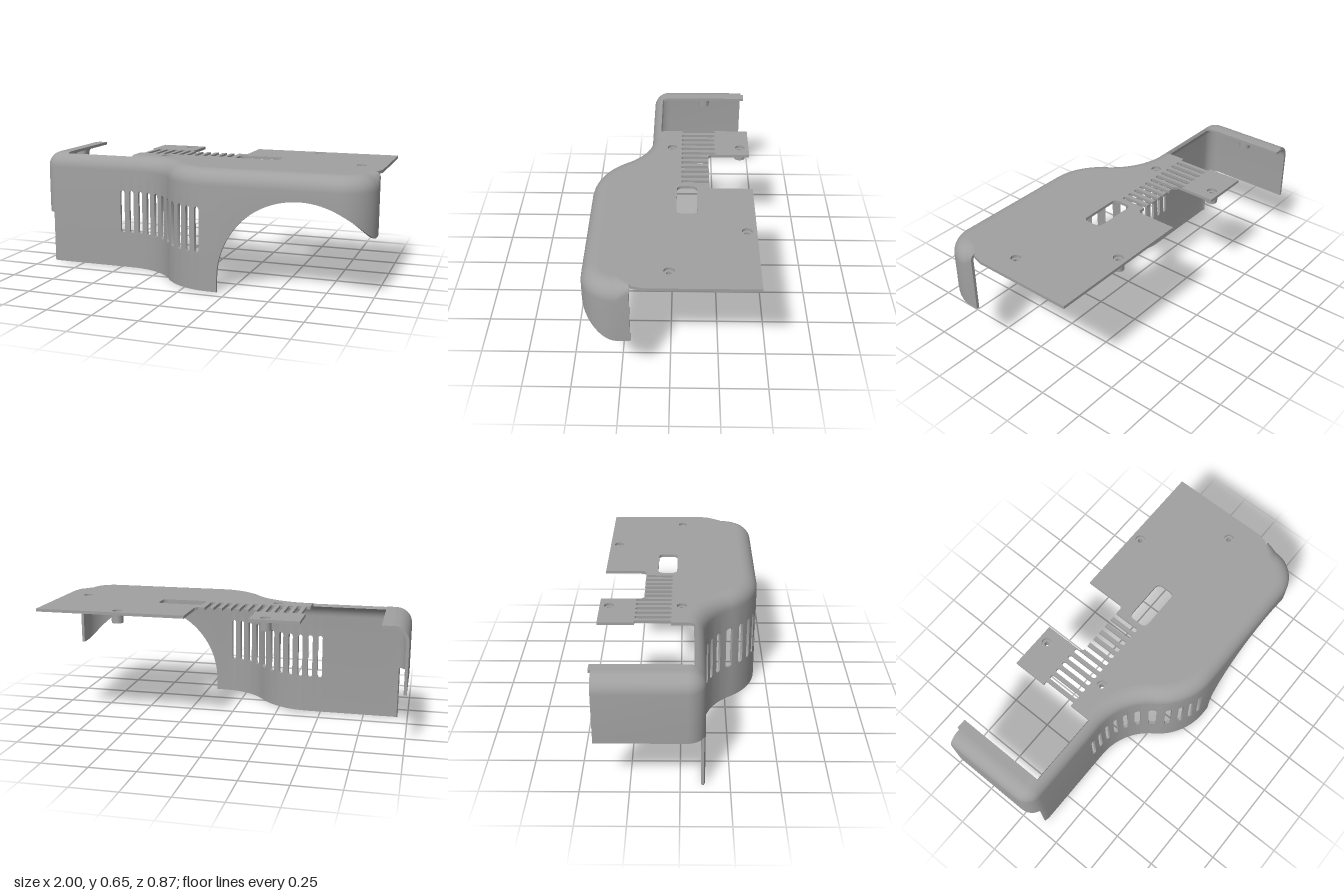
import * as THREE from 'three';
import { toCreasedNormals } from 'three/addons/utils/BufferGeometryUtils.js';

const TOP = 0.655, T = 0.016, R = 0.085;           // top height, wall thickness, edge radius
const Z0 = 0.125, Z1 = 0.433, BACK = -0.433;       // shallow front, deep front, back edge
const X0 = -0.43, X1 = 0.15;                       // ends of the S-bend
const CUT_L = -0.86, CUT_R = -0.45, STEP = -0.945; // open bay and lower skirt limits
const ARCH = { x: 0.635, y: 0.075, r: 0.44 };
const ARCH_L = ARCH.x - ARCH.r;
const HALF = 0.013, EPS = 1e-5;                    // half slot width
const wallSlots = Array.from({ length: 11 }, (_, i) => -0.49 + 0.057 * i);

// Point of the front wall at a given x, with outward normal
function frontPoint(x) {
  const bend = 2 * Math.atan((Z1 - Z0) / (X1 - X0));
  const rad = (X1 - X0) / 2 / Math.sin(bend);
  let z = Z0, a = 0;
  if (x >= X1) z = Z1;
  else if (x > (X0 + X1) / 2) {
    a = Math.asin((X1 - x) / rad);
    z = Z1 - rad * (1 - Math.cos(a));
  } else if (x > X0) {
    a = Math.asin((x - X0) / rad);
    z = Z0 + rad * (1 - Math.cos(a));
  }
  return { x, z, nx: -Math.sin(a), nz: Math.cos(a), r: R };
}

// Plan outline from the left back, round the front, to the right end
function outline() {
  const pts = [{ x: -1, z: -0.42, nx: -1, nz: 0, r: R }];
  const cr = 0.09;
  const angles = Array.from({ length: 10 }, (_, i) => (i * Math.PI) / 20);
  angles.push(Math.acos((-1 + cr - STEP) / cr));
  angles.sort((a, b) => a - b).forEach(a => pts.push({
    x: -1 + cr - cr * Math.cos(a), z: Z0 - cr + cr * Math.sin(a), nx: -Math.cos(a), nz: Math.sin(a), r: R }));
  const xs = [-0.91, CUT_L, CUT_R, X0, X1, 0.82];
  for (let i = 1; i < 24; i++) xs.push(X0 + ((X1 - X0) * i) / 24);
  for (let i = 0; i < 40; i++) {
    const x = ARCH.x - ARCH.r * Math.cos((i * Math.PI) / 48);
    if (x < 0.815) xs.push(x);
  }
  wallSlots.forEach(s => [-1, -0.7, 0, 0.7, 1].forEach(k => xs.push(s + k * HALF)));
  xs.sort((a, b) => a - b);
  xs.filter((x, i) => i === 0 || x - xs[i - 1] > 1e-4).forEach(x => pts.push(frontPoint(x)));
  for (let i = 1; i <= 12; i++) {
    const a = (i * Math.PI) / 24;
    pts.push({ x: 0.82 + 0.18 * Math.sin(a), z: Z1 - 0.18 + 0.18 * Math.cos(a), nx: Math.sin(a), nz: Math.cos(a), r: R });
  }
  pts.push({ x: 1, z: 0.22, nx: 1, nz: 0, r: 0.055 }, { x: 1, z: 0.19, nx: 1, nz: 0, r: 0.03 });
  return pts;
}

// Lower edge of the skirt, with step and wheel arch
function bottomY(x) {
  if (x < STEP) return 0.295;
  if (x < ARCH_L) return 0;
  return ARCH.y + Math.sqrt(Math.max(0, ARCH.r ** 2 - (x - ARCH.x) ** 2));
}

// Profile point: v below 1 is a height on the wall, v - 1 is an angle round the top edge
function profilePoint(p, v, inner) {
  const t = inner ? T : 0;
  let off = t, y = v;
  if (v >= 1) {
    off = p.r - (p.r - t) * Math.cos(v - 1);
    y = TOP - p.r + (p.r - t) * Math.sin(v - 1);
  }
  return [p.x - p.nx * off, y, p.z - p.nz * off];
}

function shellGeometry(pts) {
  const pos = [];
  const quad = (a, b, c, d) => pos.push(...a, ...b, ...c, ...a, ...c, ...d);
  const arc = (from, to, n) => Array.from({ length: n + 1 }, (_, i) => 1 + from + ((to - from) * i) / n);
  const cutAngle = Math.acos((R - 0.05) / R);
  const fullArc = arc(0, Math.PI / 2, 8), cutArc = arc(0, cutAngle, 6);

  // One strip of wall between neighbouring outline points
  function band(p, q, rows, capTop) {
    const at = k => [profilePoint(p, rows[k][0], false), profilePoint(q, rows[k][1], false),
      profilePoint(q, rows[k][1], true), profilePoint(p, rows[k][0], true)];
    for (let k = 0; k + 1 < rows.length; k++) {
      const [a, b, c, d] = at(k), [e, f, g, h] = at(k + 1);
      quad(a, b, f, e);
      quad(c, d, h, g);
    }
    const [a, b, c, d] = at(0);
    quad(d, c, b, a);
    if (capTop) quad(...at(rows.length - 1));
  }
  // Wall thickness shown at a vertical edge; dir -1 faces the start of the outline
  function side(p, vs, dir) {
    for (let k = 0; k + 1 < vs.length; k++) {
      const q = [profilePoint(p, vs[k], false), profilePoint(p, vs[k + 1], false),
        profilePoint(p, vs[k + 1], true), profilePoint(p, vs[k], true)];
      quad(...(dir < 0 ? q : q.reverse()));
    }
  }
  for (let i = 0; i + 1 < pts.length; i++) {
    const p = pts[i], q = pts[i + 1], mid = (p.x + q.x) / 2;
    const isCut = mid > CUT_L && mid < CUT_R;
    const top = (isCut ? cutArc : fullArc).map(v => [v, v]);
    const low = [bottomY(p.x + EPS), bottomY(q.x - EPS)];
    const s = wallSlots.find(c => Math.abs(mid - c) < HALF);
    if (s === undefined) band(p, q, [low, ...top], isCut);
    else {
      const round = x => HALF - Math.sqrt(Math.max(0, HALF ** 2 - (x - s) ** 2));
      const ends = [round(p.x), round(q.x)];
      band(p, q, [low, ends.map(e => 0.205 + e)], true);
      band(p, q, [ends.map(e => 0.455 - e), ...top], isCut);
      if (Math.abs(p.x - s + HALF) < 1e-4) side(p, [0.218, 0.442], 1);
      if (Math.abs(q.x - s - HALF) < 1e-4) side(q, [0.218, 0.442], -1);
    }
    if (Math.abs(p.x - STEP) < 1e-4) side(p, [0, 0.295], -1);
    if (Math.abs(p.x - ARCH_L) < 1e-4) side(p, [0, ARCH.y], 1);
    const rest = arc(cutAngle, Math.PI / 2, 3);
    if (Math.abs(p.x - CUT_L) < 1e-4) side(p, rest, 1);
    if (Math.abs(p.x - CUT_R) < 1e-4) side(p, rest, -1);
  }
  side(pts[0], [0.295, ...fullArc], -1);
  const last = pts[pts.length - 1];
  side(last, [bottomY(last.x), ...fullArc], 1);
  const geo = new THREE.BufferGeometry();
  geo.setAttribute('position', new THREE.Float32BufferAttribute(pos, 3));
  return toCreasedNormals(geo, 0.6);
}

// Flat plate from plan points [x, z] and hole paths
function plateGeometry(points, holes = []) {
  const shape = new THREE.Shape(points.map(([x, z]) => new THREE.Vector2(x, -z)));
  shape.holes.push(...holes);
  return new THREE.ExtrudeGeometry(shape, { depth: T, bevelEnabled: false, curveSegments: 8 })
    .rotateX(-Math.PI / 2).translate(0, TOP - T, 0);
}

// Rounded rectangular hole in plan
function roundedHole(xa, xb, za, zb, r) {
  const path = new THREE.Path(), ya = -zb, yb = -za;
  path.absarc(xb - r, yb - r, r, 0, Math.PI / 2);
  path.absarc(xa + r, yb - r, r, Math.PI / 2, Math.PI);
  path.absarc(xa + r, ya + r, r, Math.PI, Math.PI * 1.5);
  path.absarc(xb - r, ya + r, r, Math.PI * 1.5, Math.PI * 2);
  return path;
}

export function createModel() {
  const group = new THREE.Group();
  const material = new THREE.MeshStandardMaterial({ color: 0xa0a0a0, side: THREE.DoubleSide });
  material.name = 'grey plastic';
  const add = (name, geo) => {
    const mesh = new THREE.Mesh(geo, material);
    mesh.name = name;
    group.add(mesh);
    return mesh;
  };
  const pts = outline();
  add('curvedSideWall', shellGeometry(pts));
  const inset = list => list.map(p => [p.x - p.nx * p.r, p.z - p.nz * p.r]);

  // Narrow strip over the left wall
  add('sideStrip', plateGeometry([...inset(pts.filter(p => p.x <= CUT_L + EPS)),
    [CUT_L, BACK], [-0.915, BACK]]));

  // Main top plate: comb of slots open at the back notch, closed slots on the tab
  const edge = inset(pts.filter(p => p.x >= CUT_R - EPS));
  edge.push([0.985, 0.18], [1, 0.12], [1, BACK], [0.165, BACK], [0.165, -0.215], [0.15, -0.2]);
  const topSlots = Array.from({ length: 12 }, (_, i) => -0.44 + 0.049 * i);
  for (let i = 11; i >= 6; i--) {
    const x = topSlots[i];
    edge.push([x + HALF, -0.2], [x + HALF, -0.055], [x + 0.007, -0.048],
      [x - 0.007, -0.048], [x - HALF, -0.055], [x - HALF, -0.2]);
  }
  edge.push([-0.165, -0.2], [-0.18, -0.215], [-0.18, BACK], [CUT_R, BACK],
    [CUT_R, -0.24], [-0.427, -0.24], [-0.427, -0.05], [CUT_R, -0.05]);
  const holes = topSlots.slice(1, 6).map(x => roundedHole(x - HALF, x + HALF, -0.24, -0.048, 0.012));
  holes.push(roundedHole(0.145, 0.4, -0.133, -0.025, 0.028));
  const screws = [[-0.26, -0.383], [0.55, -0.383], [-0.26, 0.005], [0.87, 0.005]];
  screws.forEach(([x, z]) => holes.push(new THREE.Path().absarc(x, -z, 0.027, 0, Math.PI * 2)));
  add('topPlate', plateGeometry(edge, holes));

  // Hollow screw posts under the plates
  const post = toCreasedNormals(new THREE.LatheGeometry(
    [[0.013, 0.59], [0.032, 0.59], [0.032, 0.64], [0.013, 0.64], [0.013, 0.59]]
      .map(([x, y]) => new THREE.Vector2(x, y)), 24), 0.6);
  [...screws, [0.73, -0.185], [-0.905, -0.185]].forEach(([x, z]) =>
    add('screwPost', post).position.set(x, 0, z));
  return group;
}
